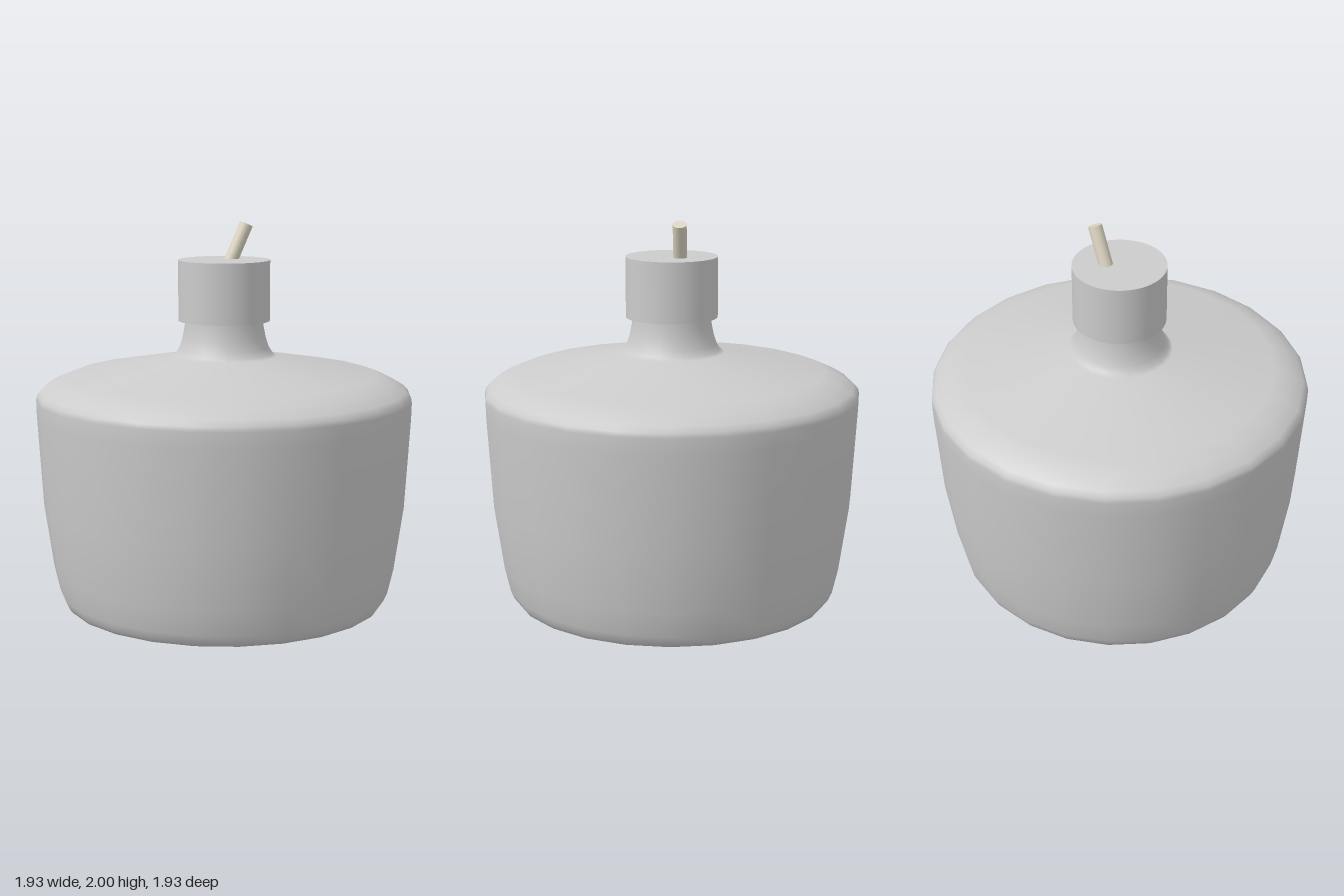
import * as THREE from 'three';

function addMesh(group, name, geometry, color = 0xcccccc) {
  const mesh = new THREE.Mesh(geometry, new THREE.MeshStandardMaterial({ color }));
  mesh.name = name;
  group.add(mesh);
  return mesh;
}

export function createModel() {
  const group = new THREE.Group();
  group.name = 'oilBurner';

  // Flask: slightly domed base, flared wall, rounded shoulder and narrow neck
  const profile = [
    [0, 0], [0.3, 0.007], [0.79, 0.021], [0.825, 0.027], [0.842, 0.05], [0.86, 0.09],
    [0.89, 0.22], [0.937, 0.55], [0.965, 1.02], [0.967, 1.1], [0.962, 1.125],
    [0.94, 1.15], [0.88, 1.187], [0.79, 1.222], [0.27, 1.317], [0.25, 1.332],
    [0.231, 1.362], [0.215, 1.41], [0.203, 1.47], [0.2, 1.53],
  ].map(([r, y]) => new THREE.Vector2(r, y));
  addMesh(group, 'flask', new THREE.LatheGeometry(profile, 24));

  // Cap over the neck
  const cap = addMesh(group, 'cap', new THREE.CylinderGeometry(0.235, 0.235, 0.31, 48));
  cap.position.y = 1.655;

  // Wick leaning out of the cap
  const foot = new THREE.Vector3(-0.018, 1.77, -0.055);
  const tip = new THREE.Vector3(0.033, 1.986, -0.138);
  const lean = tip.clone().sub(foot);
  const wick = addMesh(group, 'wick',
    new THREE.CylinderGeometry(0.035, 0.035, lean.length(), 24), 0xddd5c2);
  wick.position.copy(foot).add(tip).multiplyScalar(0.5);
  wick.quaternion.setFromUnitVectors(new THREE.Vector3(0, 1, 0), lean.normalize());

  return group;
}
